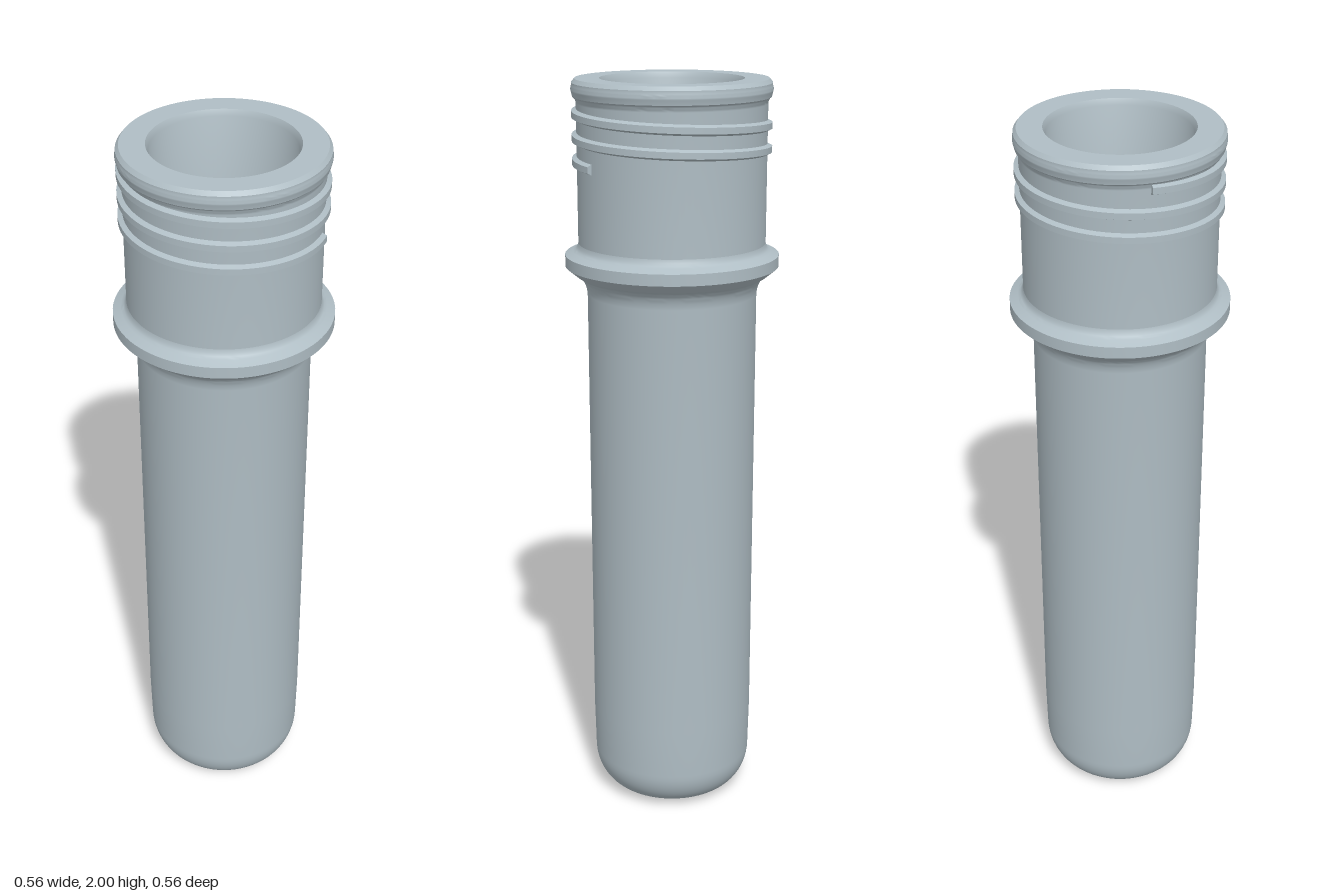
import * as THREE from 'three';
import { toCreasedNormals } from 'three/addons/utils/BufferGeometryUtils.js';

const SEGMENTS = 96;
const CREASE = Math.PI / 7;

// Quarter-ellipse points about (cx, cy) between two angles
function arc(cx, cy, rx, ry, from, to, steps = 12) {
  return Array.from({ length: steps + 1 }, (_, i) => {
    const a = THREE.MathUtils.degToRad(from + ((to - from) * i) / steps);
    return [cx + rx * Math.cos(a), cy + ry * Math.sin(a)];
  });
}

function lathe(name, profile, material) {
  const points = profile.map(([r, y]) => new THREE.Vector2(Math.max(r, 0), y));
  const geometry = toCreasedNormals(new THREE.LatheGeometry(points, SEGMENTS), CREASE);
  const mesh = new THREE.Mesh(geometry, material);
  mesh.name = name;
  return mesh;
}

// Trapezoid ridge swept up a helix, with capped ends
function threadGeometry(startY, pitch, turns) {
  const section = [[0.242, -0.015], [0.257, -0.008], [0.257, 0.008], [0.242, 0.015]];
  const n = section.length;
  const steps = Math.round(SEGMENTS * turns);
  const positions = [];
  const index = [];
  for (let i = 0; i <= steps; i++) {
    const turn = (turns * i) / steps;
    const a = turn * Math.PI * 2;
    for (const [r, y] of section) {
      positions.push(r * Math.cos(a), startY + pitch * turn + y, r * Math.sin(a));
    }
    if (i === steps) break;
    for (let j = 0; j < n - 1; j++) {
      const p = i * n + j;
      index.push(p, p + 1, p + n, p + 1, p + n + 1, p + n);
    }
  }
  const e = steps * n;
  index.push(0, 2, 1, 0, 3, 2, e, e + 1, e + 2, e, e + 2, e + 3);
  const geometry = new THREE.BufferGeometry();
  geometry.setAttribute('position', new THREE.Float32BufferAttribute(positions, 3));
  geometry.setIndex(index);
  return toCreasedNormals(geometry, CREASE);
}

export function createModel() {
  const plastic = new THREE.MeshStandardMaterial({ color: 0xb0bec5 });
  plastic.name = 'pale blue grey plastic';
  const group = new THREE.Group();
  group.name = 'bottlePreform';

  // Tube with a small dimple under its rounded base and a flare below the ring
  group.add(lathe('body', [
    [0, 0.01], [0.006, 0.008], [0.014, 0.003], [0.025, 0.001], [0.06, 0], [0.1, 0.003],
    ...arc(0.135, 0.115, 0.085, 0.108, -80, 0),
    [0.223, 0.25], [0.223, 1.44],
    ...arc(0.258, 1.44, 0.035, 0.06, 180, 100, 10),
  ], plastic));

  // Support ring with bevelled edges
  group.add(lathe('supportRing', [
    [0.24, 1.497], [0.252, 1.499], [0.28, 1.522], [0.28, 1.552],
    [0.259, 1.562], [0.252, 1.566], [0.247, 1.573], [0.245, 1.582],
  ], plastic));

  // Neck and rounded lip
  group.add(lathe('neck', [
    [0.245, 1.582], [0.245, 1.938],
    ...arc(0.263, 1.938, 0.018, 0.02, 180, 120, 5),
    ...arc(0.243, 1.974, 0.015, 0.018, -30, 30, 5),
    [0.256, 1.99], [0.248, 2], [0.185, 2],
  ], plastic));

  // Bore, tapering to a domed floor
  group.add(lathe('bore', [
    [0.185, 2], [0.178, 1.985], [0.176, 1.55], [0.17, 1.42],
    ...arc(0, 0.225, 0.165, 0.165, 0, -90, 24),
  ], plastic));

  // Screw thread
  const thread = new THREE.Mesh(threadGeometry(1.787, 0.06, 2.5), plastic);
  thread.name = 'screwThread';
  group.add(thread);

  return group;
}
